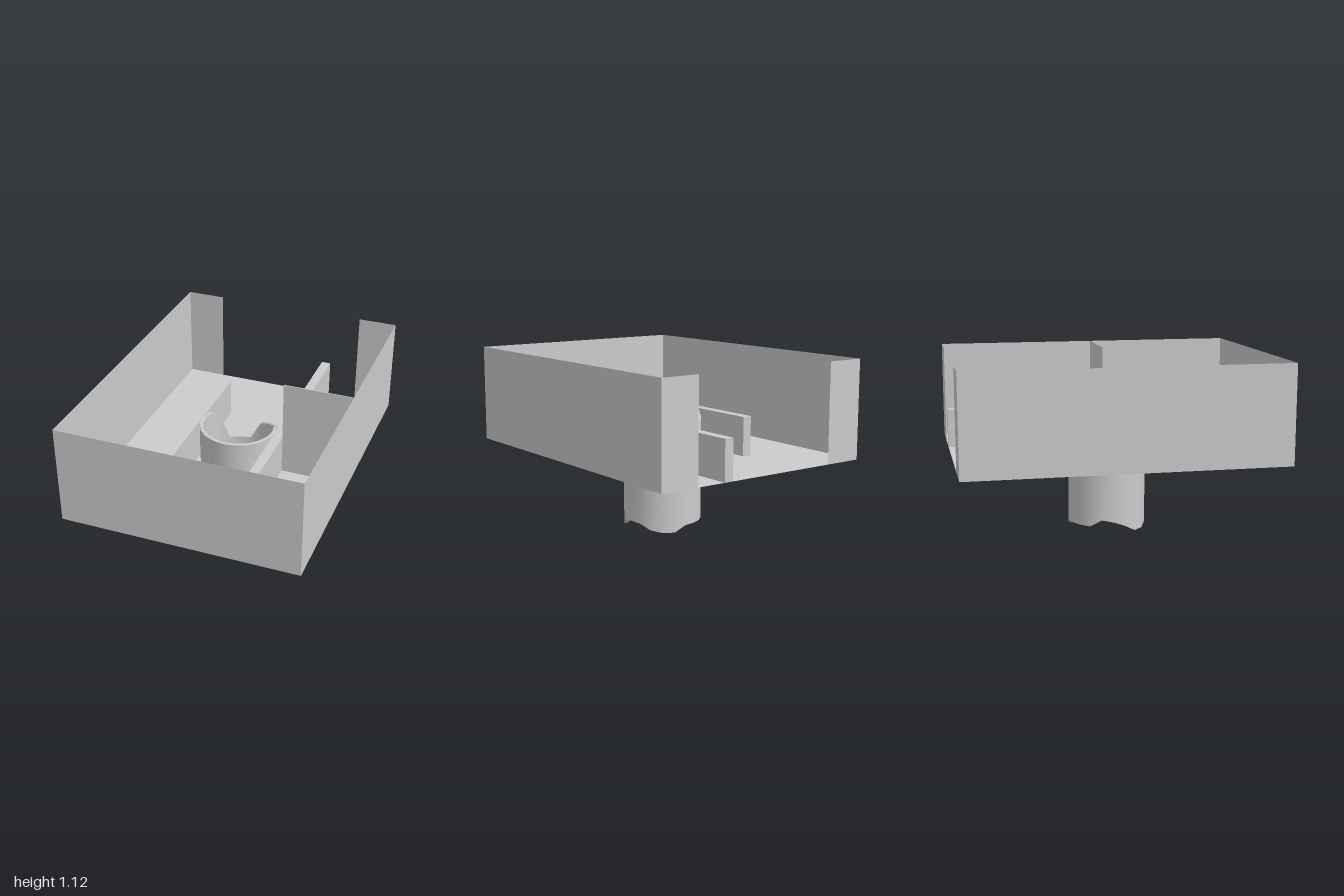
import * as THREE from 'three';
import { toCreasedNormals } from 'three/addons/utils/BufferGeometryUtils.js';

const W = 0.75, D = 1, FLOOR = 0.5, LEDGE = 0.75, TOP = 1.125;
const R_OUT = 0.25, R_IN = 0.2275, SIDES = 20;

const solid = new THREE.MeshStandardMaterial({ color: 0xcccccc });
const thin = new THREE.MeshStandardMaterial({ color: 0xcccccc, side: THREE.DoubleSide });

// Shape drawn in plan from [x, z] points
function planShape(points) {
  return new THREE.Shape(points.map(([x, z]) => new THREE.Vector2(x, -z)));
}

// Jagged pipe: the lower and upper edge heights vary with the angle from the front towards +x
function pipeGeometry(bottom, top) {
  const pos = [], index = [];
  for (let i = 0; i < SIDES; i++) {
    const a = (i / SIDES) * Math.PI * 2;
    for (const [r, y] of [[R_OUT, bottom[i]], [R_OUT, top[i]], [R_IN, top[i]], [R_IN, bottom[i]]])
      pos.push(r * Math.sin(a), y, r * Math.cos(a));
    for (let k = 0; k < 4; k++) {
      const j = (i + 1) % SIDES, m = (k + 1) % 4;
      const p = i * 4 + k, q = j * 4 + k, s = j * 4 + m, t = i * 4 + m;
      index.push(p, q, s, p, s, t);
    }
  }
  const g = new THREE.BufferGeometry();
  g.setAttribute('position', new THREE.Float32BufferAttribute(pos, 3));
  g.setIndex(index);
  return toCreasedNormals(g, 0.7);
}

export function createModel() {
  const model = new THREE.Group();
  const add = (name, geometry, material = solid) => {
    const mesh = new THREE.Mesh(geometry, material);
    mesh.name = name;
    model.add(mesh);
    return mesh;
  };

  // Floor sheet with a round hole for the pipe
  const floorShape = planShape([[-W, D], [W, D], [W, -D], [-W, -D]]);
  const hole = new THREE.Path();
  for (let i = 0; i <= SIDES; i++) {
    const a = (-i / SIDES) * Math.PI * 2, x = R_OUT * Math.sin(a), y = -R_OUT * Math.cos(a);
    if (i) hole.lineTo(x, y); else hole.moveTo(x, y);
  }
  floorShape.holes.push(hole);
  add('floor', new THREE.ShapeGeometry(floorShape).rotateX(-Math.PI / 2), thin).position.y = FLOOR;

  // Paper-thin outer walls; the back is open in the middle
  const wall = (name, width, x, z, turn) => {
    const mesh = add(name, new THREE.PlaneGeometry(width, TOP - FLOOR), thin);
    mesh.position.set(x, (TOP + FLOOR) / 2, z);
    mesh.rotation.y = turn;
  };
  wall('frontWall', 2 * W, 0, D, 0);
  for (const [side, s] of [['left', 1], ['right', -1]]) {
    wall(side + 'Wall', 2 * D, s * W, 0, s * Math.PI / 2);
    wall(side + 'BackWall', 0.25, s * (W - 0.125), -D, Math.PI);
  }

  // Low dividers, each joined to a ledge in the front corner
  for (const [side, s, back] of [['left', 1, -D], ['right', -1, -0.51]]) {
    const points = [[0.25, D], [W, D], [W, 0.75], [0.31, 0.75], [0.31, back], [0.25, back]];
    const shape = planShape(points.map(([x, z]) => [s * x, z]));
    const g = new THREE.ExtrudeGeometry(shape, { depth: LEDGE - FLOOR, bevelEnabled: false });
    add(side + 'DividerAndLedge', g.rotateX(-Math.PI / 2)).position.y = FLOOR;
  }

  // Cross partition: thick base with a thin tall panel above it
  add('partitionBase', new THREE.BoxGeometry(0.44, 0.19, 0.06)).position.set(0.53, FLOOR + 0.095, 0.015);
  add('partitionPanel', new THREE.BoxGeometry(0.44, TOP - FLOOR - 0.19, 0.006))
    .position.set(0.53, (TOP + FLOOR + 0.19) / 2, 0.042);

  // Pipe through the floor, broken lower edge and scooped-out back rim
  const bottom = [0.025, 0, 0, 0, 0.05, 0.055, 0.05, 0.015, 0, 0,
    0.04, 0.04, 0.04, 0.04, 0.085, 0.07, 0.04, 0, 0, 0.025];
  const top = new Array(SIDES).fill(LEDGE);
  [0.71, 0.68, 0.65, 0.52, 0.52, 0.52, 0.71].forEach((y, i) => { top[7 + i] = y; });
  add('pipe', pipeGeometry(bottom, top));

  return model;
}
